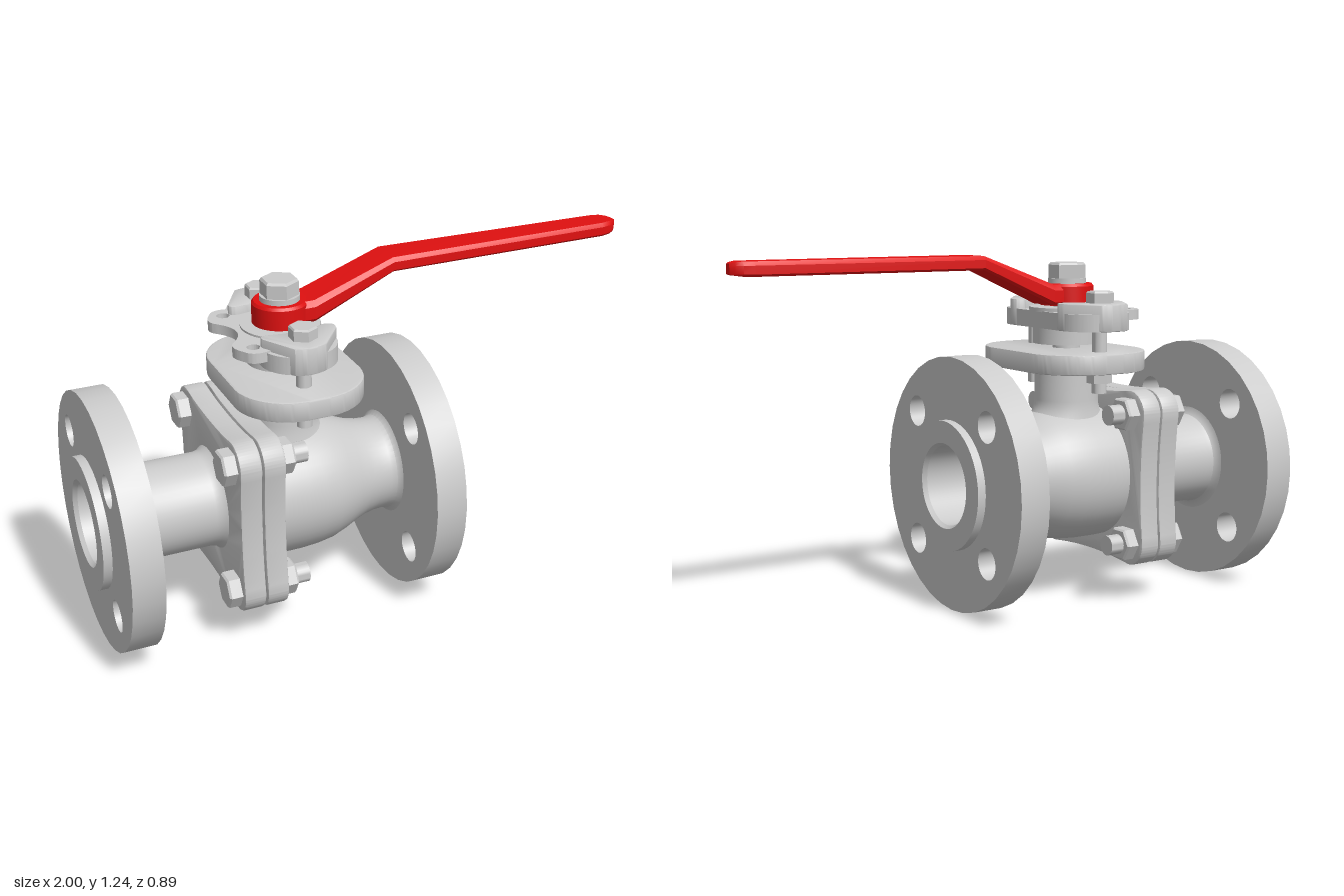
import * as THREE from 'three';
import { toCreasedNormals } from 'three/addons/utils/BufferGeometryUtils.js';

const AXIS = 0.45;   // pipe centre height
const STEM = -0.285; // stem position along the pipe

const steel = new THREE.MeshStandardMaterial({ color: 0xcccccc });
const boreSteel = new THREE.MeshStandardMaterial({ color: 0xcccccc, side: THREE.DoubleSide });
const red = new THREE.MeshStandardMaterial({ color: 0xe01010 });

export function createModel() {
  const model = new THREE.Group();
  model.name = 'flangedBallValve';

  const add = (name, geo, x = 0, y = 0, z = 0, mat = steel) => {
    const mesh = new THREE.Mesh(toCreasedNormals(geo, 0.55), mat);
    mesh.name = name;
    mesh.position.set(x, y, z);
    model.add(mesh);
    return mesh;
  };

  // Profile points are [radius, position along the axis]
  const lathe = (pts, seg = 48) =>
    new THREE.LatheGeometry(pts.map(([r, a]) => new THREE.Vector2(r, a)), seg);
  const latheX = (pts) => lathe(pts).rotateZ(-Math.PI / 2);

  const extrude = (shape, depth, bevel = 0) => new THREE.ExtrudeGeometry(shape, {
    depth: depth - 2 * bevel, curveSegments: 18, bevelEnabled: bevel > 0,
    bevelSize: bevel, bevelThickness: bevel, bevelOffset: -bevel, bevelSegments: 2,
  }).translate(0, 0, bevel);
  const plateX = (shape, depth, bevel) => extrude(shape, depth, bevel).rotateY(Math.PI / 2);
  const plateY = (shape, depth, bevel) => extrude(shape, depth, bevel).rotateX(-Math.PI / 2);

  const circle = (x, y, r) => new THREE.Path().absarc(x, y, r, 0, Math.PI * 2);

  // Rounded rectangle whose sides may curve inward by 'waist'
  const roundRect = (w, h, r, waist = 0) => {
    const s = new THREE.Shape();
    const corners = [[1, 1], [-1, 1], [-1, -1], [1, -1]];
    const mids = [[w - 2 * waist, 0], [0, h - 2 * waist], [2 * waist - w, 0], [0, 2 * waist - h]];
    corners.forEach(([sx, sy], i) => {
      const a = i * Math.PI / 2, cx = sx * (w - r), cy = sy * (h - r);
      const px = cx + r * Math.cos(a), py = cy + r * Math.sin(a);
      if (i === 0) s.moveTo(px, py);
      else s.quadraticCurveTo(...mids[i], px, py);
      s.absarc(cx, cy, r, a, a + Math.PI / 2);
    });
    s.quadraticCurveTo(...mids[0], w, h - r);
    return s;
  };

  const cyl = (r, h, seg = 24) => new THREE.CylinderGeometry(r, r, h, seg).translate(0, h / 2, 0);
  const cylX = (r, h, seg) => cyl(r, h, seg).rotateZ(-Math.PI / 2);
  // Hexagonal head with a chamfered top
  const hex = (r, h) => lathe([[0, 0], [r, 0], [r, h * 0.85], [r * 0.9, h], [0, h]], 6);

  // End flanges with four bolt holes
  const flange = new THREE.Shape().absarc(0, 0, 0.447, 0, Math.PI * 2);
  flange.holes.push(circle(0, 0, 0.15));
  for (const sx of [-1, 1]) for (const sy of [-1, 1])
    flange.holes.push(circle(sx * 0.233, sy * 0.233, 0.055));
  add('rightEndFlange', plateX(flange, 0.11), -0.97, AXIS);
  add('leftEndFlange', plateX(flange, 0.11), 0.09, AXIS);

  // Tailpiece pipe with raised sealing face
  add('tailPipe', latheX([
    [0.14, -0.985], [0.15, -1], [0.228, -1], [0.228, -0.9], [0.195, -0.9], [0.195, -0.86],
    [0.178, -0.855], [0.168, -0.845], [0.164, -0.825], [0.164, -0.59], [0.168, -0.57],
    [0.18, -0.555], [0.18, -0.5],
  ]), 0, AXIS);

  // Bulged ball housing tapering to the other raised face
  add('ballHousing', latheX([
    [0.15, -0.42], [0.24, -0.42], [0.242, -0.36], [0.242, -0.28], [0.238, -0.22], [0.228, -0.16],
    [0.21, -0.11], [0.19, -0.065], [0.175, -0.025], [0.167, 0.015], [0.165, 0.055],
    [0.17, 0.075], [0.185, 0.09], [0.2, 0.095], [0.2, 0.15], [0.228, 0.15], [0.228, 0.23],
    [0.15, 0.23], [0.14, 0.215],
  ]), 0, AXIS);
  add('bore', latheX([[0.14, -0.985], [0.14, 0.215]]), 0, AXIS, 0, boreSteel);

  // Bolted body joint: two waisted square flanges with a gasket between
  const square = roundRect(0.315, 0.315, 0.085, 0.015);
  square.holes.push(circle(0, 0, 0.14));
  add('tailJointFlange', plateX(square, 0.077, 0.008), -0.555, AXIS);
  add('bodyJointFlange', plateX(square, 0.077, 0.008), -0.473, AXIS);
  add('jointGasket', latheX([[0.14, -0.49], [0.28, -0.49], [0.28, -0.46], [0.14, -0.46]]), 0, AXIS);
  for (const sy of [-1, 1]) for (const sz of [-1, 1]) {
    const y = AXIS + sy * 0.233, z = sz * 0.233;
    add('jointBoltHead', hex(0.062, 0.047).rotateZ(Math.PI / 2), -0.554, y, z);
    add('jointNut', hex(0.062, 0.047).rotateZ(-Math.PI / 2), -0.398, y, z);
    add('jointStud', cylX(0.035, 0.26), -0.56, y, z);
  }

  // Neck flaring along the pipe; the flare is narrowed and dropped at its sides
  const neckPts = [];
  for (let i = 0; i <= 10; i++) {
    const a = (i / 10) * Math.PI / 2;
    neckPts.push([0.115 + 0.15 * (1 - Math.sin(a)), 0.72 - 0.108 * Math.cos(a)]);
  }
  const neck = lathe([...neckPts, [0.115, 0.84]]);
  const p = neck.attributes.position;
  for (let i = 0; i < p.count; i++) {
    const x = p.getX(i), z = p.getZ(i), r = Math.hypot(x, z), e = Math.max(0, r - 0.115);
    p.setZ(i, (z / r) * (0.115 + 0.45 * e));
    p.setY(i, p.getY(i) - (z / r) ** 2 * e * 0.9);
  }
  add('neck', neck, STEM);

  // Mounting pad, stem and gland
  add('mountingPad', plateY(roundRect(0.223, 0.31, 0.19), 0.07, 0.006), -0.28, 0.835, 0.01);
  add('stem', cyl(0.05, 0.3), STEM, 0.85);
  add('glandSleeve', cyl(0.12, 0.065, 36), STEM, 0.922);
  add('glandPlate', plateY(roundRect(0.13, 0.28, 0.125), 0.06), STEM, 0.98);
  add('glandWasher', cyl(0.135, 0.015, 36), STEM, 1.037);

  // Raised gland ears with their studs and nuts
  for (const s of [-1, 1]) {
    const ear = new THREE.Shape();
    ear.moveTo(-0.125, s * 0.165);
    ear.quadraticCurveTo(-0.135, s * 0.13, -0.09, s * 0.135);
    ear.quadraticCurveTo(0.02, s * 0.16, 0.1, s * 0.12);
    ear.quadraticCurveTo(0.15, s * 0.12, 0.13, s * 0.17);
    ear.lineTo(0.05, s * 0.275);
    ear.quadraticCurveTo(0, s * 0.305, -0.06, s * 0.28);
    ear.closePath();
    add('glandEar', plateY(ear, 0.095, 0.005), STEM, 0.98);
    const z = s * 0.2;
    add('glandBoltHead', hex(0.048, 0.042), STEM, 1.074, z);
    add('glandStud', cyl(0.026, 0.32), STEM, 0.76, z);
    add('glandNut', hex(0.045, 0.04), STEM, 0.796, z);
  }

  // Stop plate with two lobes and holes
  const stop = new THREE.Shape();
  stop.moveTo(0.05, 0.12);
  stop.lineTo(-0.1, 0.19);
  stop.quadraticCurveTo(-0.17, 0.215, -0.19, 0.17);
  stop.quadraticCurveTo(-0.225, 0.12, -0.2, 0.09);
  stop.quadraticCurveTo(-0.11, 0, -0.2, -0.09);
  stop.quadraticCurveTo(-0.225, -0.12, -0.19, -0.17);
  stop.quadraticCurveTo(-0.17, -0.215, -0.1, -0.19);
  stop.lineTo(0.05, -0.12);
  for (const s of [-1, 1]) stop.holes.push(circle(-0.15, s * 0.145, 0.022));
  add('stopPlate', plateY(stop, 0.035), STEM, 1.01);

  // Lever hub, retaining nut and washer
  add('leverHub', lathe([[0, 0], [0.095, 0], [0.095, 0.068], [0.088, 0.077], [0, 0.077]]),
    STEM, 1.058, 0, red);
  add('leverWasher', cyl(0.068, 0.018, 32), STEM, 1.135);
  add('leverNut', hex(0.066, 0.055), STEM, 1.153);

  // Cranked lever arm lofted through [x, bottom, top, half width]
  const stations = [
    [-0.27, 1.06, 1.133, 0.07], [-0.185, 1.062, 1.135, 0.072], [0.1, 1.192, 1.24, 0.071],
    [0.93, 1.192, 1.24, 0.055], [0.965, 1.193, 1.24, 0.046], [0.987, 1.196, 1.237, 0.031],
    [1, 1.2, 1.233, 0.014],
  ];
  const section = [[0.88, -1], [1, -0.7], [1, 0.45], [0.82, 1], [-0.82, 1], [-1, 0.45], [-1, -0.7], [-0.88, -1]];
  const n = section.length, pos = [], idx = [];
  stations.forEach(([x, lo, hi, w], i) => {
    section.forEach(([u, v], j) => {
      pos.push(x, (lo + hi) / 2 + v * (hi - lo) / 2, -u * w);
      const a = i * n + j, b = i * n + (j + 1) % n;
      if (i < stations.length - 1) idx.push(a, b, a + n, b, b + n, a + n);
    });
  });
  const last = (stations.length - 1) * n;
  for (let j = 1; j < n - 1; j++) idx.push(0, j + 1, j, last, last + j, last + j + 1);
  const arm = new THREE.BufferGeometry();
  arm.setAttribute('position', new THREE.Float32BufferAttribute(pos, 3));
  arm.setIndex(idx);
  add('leverArm', arm, 0, 0, 0, red);

  return model;
}
